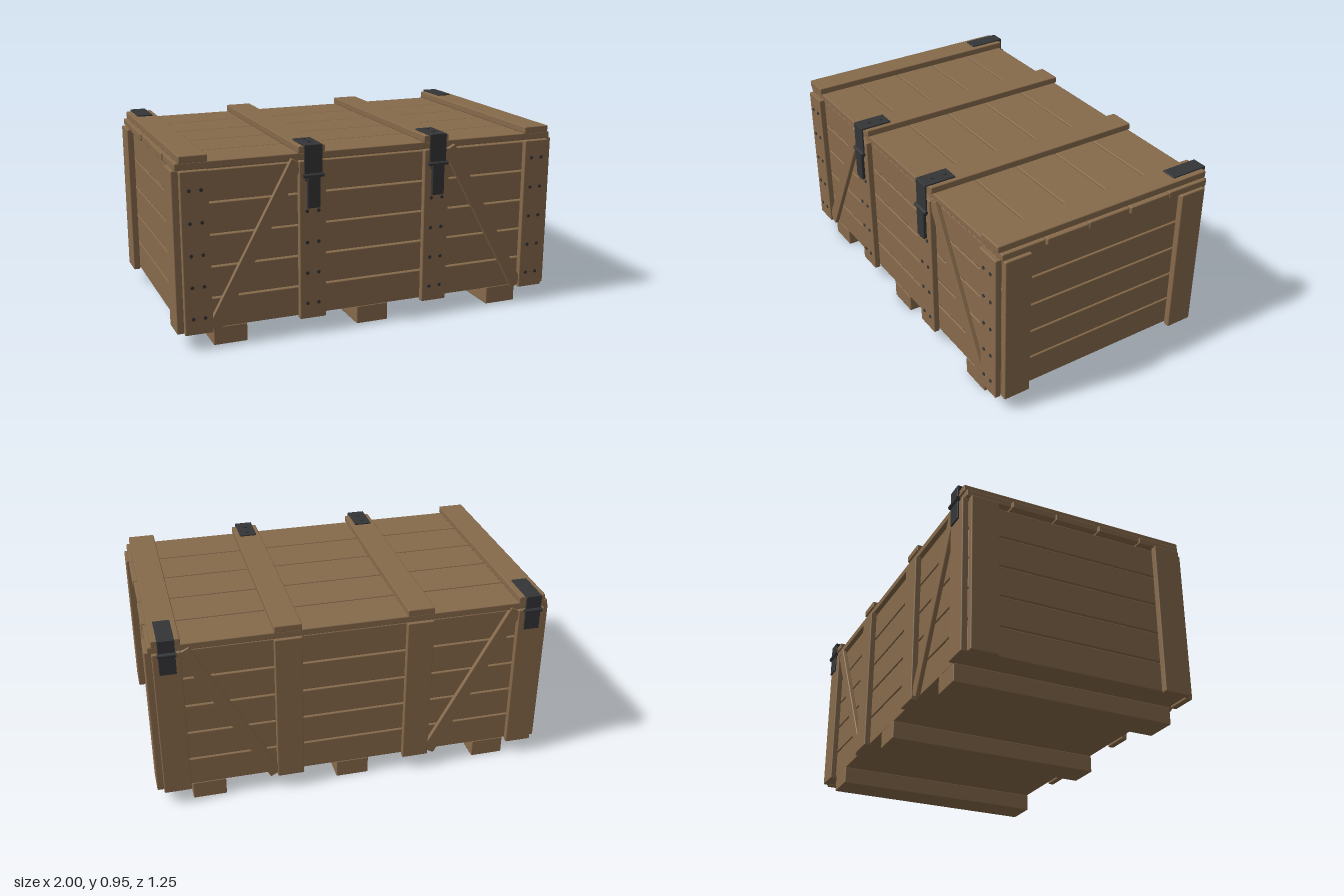
import * as THREE from 'three';
import { RoundedBoxGeometry } from 'three/addons/geometries/RoundedBoxGeometry.js';

export function createModel() {
  const crate = new THREE.Group();
  crate.name = 'woodenCrate';
  const wood = new THREE.MeshStandardMaterial({ name: 'brownWood', color: 0x876a4b });
  const metal = new THREE.MeshStandardMaterial({ name: 'darkMetal', color: 0x343537 });

  // Box with slightly eased edges, given by its limits on each axis
  function block(name, mat, [x0, x1], [y0, y1], [z0, z1], parent = crate) {
    const w = x1 - x0, h = y1 - y0, d = z1 - z0;
    const r = Math.min(0.005, Math.min(w, h, d) * 0.3);
    const mesh = new THREE.Mesh(new RoundedBoxGeometry(w, h, d, 1, r), mat);
    mesh.name = name;
    mesh.position.set((x0 + x1) / 2, (y0 + y1) / 2, (z0 + z1) / 2);
    parent.add(mesh);
    return mesh;
  }

  // Short metal cylinder lying along the chosen axis
  function pin(name, radius, length, axis, x, y, z, parent = crate) {
    const geo = new THREE.CylinderGeometry(radius, radius, length, 10);
    if (axis === 'x') geo.rotateZ(Math.PI / 2);
    if (axis === 'z') geo.rotateX(Math.PI / 2);
    const mesh = new THREE.Mesh(geo, metal);
    mesh.name = name;
    mesh.position.set(x, y, z);
    parent.add(mesh);
  }

  const around = (c, width) => [c - width / 2, c + width / 2];
  const mirror = (s, a, b) => (s > 0 ? [a, b] : [-b, -a]);

  // Skids and floor
  for (const x of [-0.74, 0, 0.74]) block('skid', wood, around(x, 0.168), [0, 0.092], [-0.572, 0.572]);
  block('floor', wood, [-0.94, 0.94], [0.09, 0.115], [-0.545, 0.545]);

  // Wall planks, five high, with narrow open gaps
  for (let i = 0; i < 5; i++) {
    const y = [0.09 + i * 0.1555, 0.09 + (i + 1) * 0.1555 - 0.007];
    for (const s of [1, -1]) {
      block('longWallPlank', wood, [-0.965, 0.965], y, mirror(s, 0.54, 0.57));
      block('endWallPlank', wood, mirror(s, 0.935, 0.965), y, [-0.54, 0.54]);
    }
  }

  // Upright battens on the long walls and posts on the ends
  for (const s of [1, -1]) {
    for (const x of [-0.9, -0.328, 0.328, 0.9])
      block('wallBatten', wood, around(x, 0.135), [0.08, 0.87], mirror(s, 0.57, 0.602));
    for (const e of [1, -1])
      block('endPost', wood, mirror(e, 0.965, 1), [0.08, 0.87], mirror(s, 0.43, 0.57));
  }

  // Diagonal braces: the back ones lean the opposite way
  for (const face of [1, -1]) {
    for (const side of [1, -1]) {
      const brace = block('diagonalBrace', wood, around(0, 0.068), around(0, 0.885), around(0, 0.024));
      brace.position.set(side * 0.613, 0.482, face * 0.582);
      brace.rotation.z = side * face * 0.5;
    }
  }

  // Lid planks and cross battens
  for (let i = 0; i < 5; i++) {
    const z = -0.588 + i * 0.2345;
    const end = 0.985 + (i % 2) * 0.005;
    block('lidPlank', wood, [-end, end], [0.87, 0.905], [z, z + 0.2285]);
  }
  for (const x of [-0.9, -0.328, 0.328, 0.9])
    block('lidBatten', wood, around(x, 0.135), [0.905, 0.94], [-0.595, 0.59]);

  // Nail heads in pairs on the front battens
  for (const s of [1, -1])
    for (const x of [0.3, 0.358, 0.87, 0.927])
      for (let i = 0; i < 5; i++)
        pin('nailHead', 0.009, 0.008, 'z', s * x, 0.16 + i * 0.155, 0.602);

  // Front latches
  for (const x of [-0.328, 0.328]) {
    const latch = new THREE.Group();
    latch.name = 'latch';
    crate.add(latch);
    block('latchTopPlate', metal, around(x, 0.09), [0.939, 0.948], [0.445, 0.612], latch);
    block('latchFrontPlate', metal, around(x, 0.09), [0.8, 0.948], [0.603, 0.612], latch);
    block('latchHasp', metal, around(x, 0.066), [0.642, 0.805], [0.603, 0.622], latch);
    pin('latchPin', 0.01, 0.104, 'x', x, 0.8, 0.613, latch);
    for (const z of [0.48, 0.548]) pin('latchScrew', 0.011, 0.008, 'y', x, 0.949, z, latch);
  }

  // Back hinges
  for (const x of [-0.9, 0.9]) {
    const hinge = new THREE.Group();
    hinge.name = 'hinge';
    crate.add(hinge);
    block('hingeTopPlate', metal, around(x, 0.08), [0.939, 0.947], [-0.615, -0.418], hinge);
    block('hingeBackPlate', metal, around(x, 0.08), [0.765, 0.947], [-0.615, -0.606], hinge);
    pin('hingeBarrel', 0.012, 0.09, 'x', x, 0.87, -0.614, hinge);
  }

  return crate;
}
